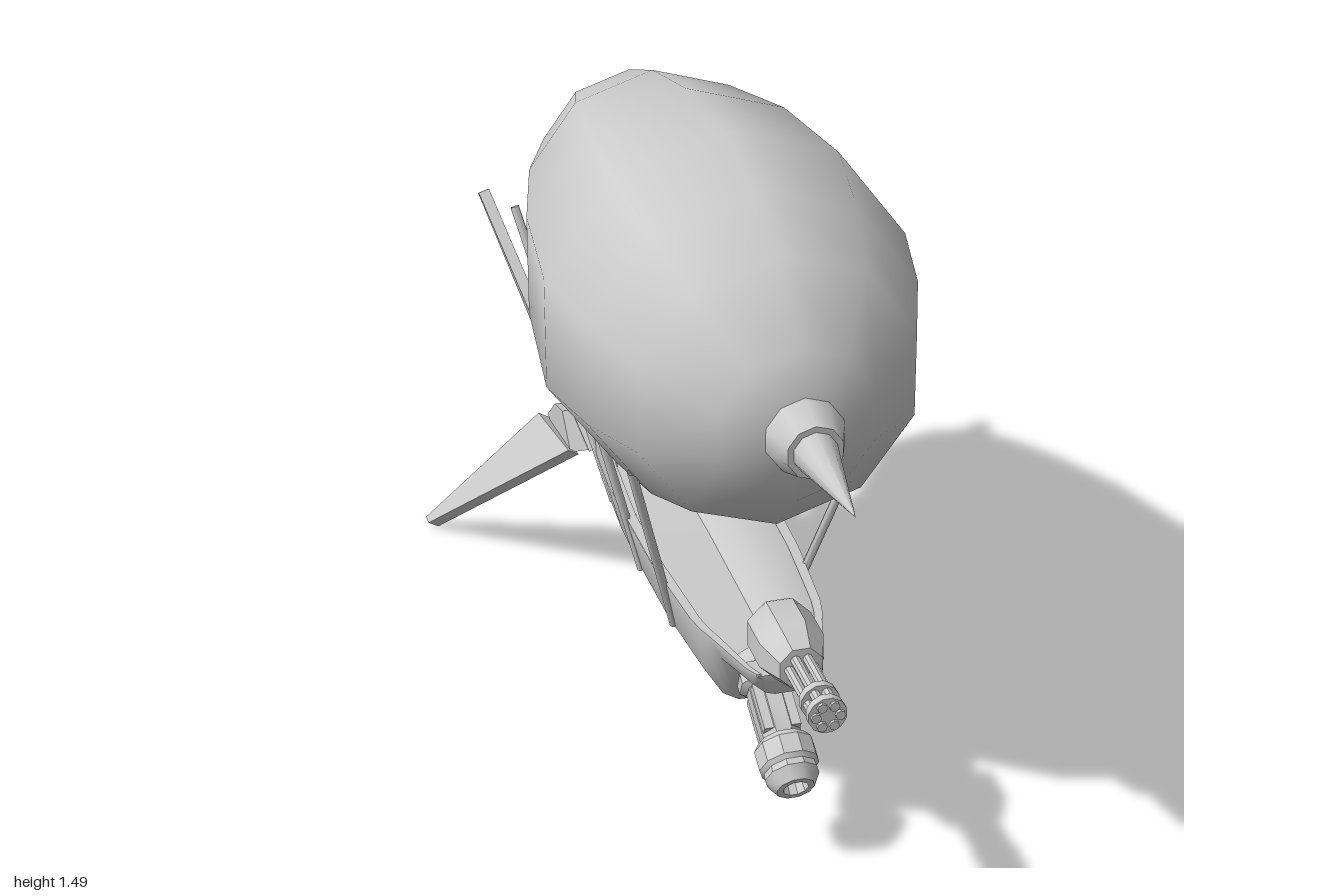
import * as THREE from 'three';
import { toCreasedNormals } from 'three/addons/utils/BufferGeometryUtils.js';

const grey = new THREE.MeshStandardMaterial({ color: 0xcccccc });
const greyDouble = new THREE.MeshStandardMaterial({ color: 0xcccccc, side: THREE.DoubleSide });

function add(parent, name, geometry, crease = 0.6, material = grey) {
  const mesh = new THREE.Mesh(toCreasedNormals(geometry, crease), material);
  mesh.name = name;
  parent.add(mesh);
  return mesh;
}

// Turned part around the z axis, profile given as [z, radius] from back to front
function turned(profile, sides = 8, start = Math.PI / sides) {
  const points = profile.map(([z, r]) => new THREE.Vector2(r, z));
  return new THREE.LatheGeometry(points, sides, start).rotateX(Math.PI / 2);
}

// Round bar between two points
function bar(a, b, radius, sides = 8) {
  return new THREE.TubeGeometry(new THREE.LineCurve3(a, b), 1, radius, sides);
}

// Flat plate: outline as [distance along direction, z], starting at origin (x, y)
function plate(outline, x, y, dx, dy, thickness) {
  const shape = new THREE.Shape(outline.map(([u, z]) => new THREE.Vector2(u, z)));
  const geometry = new THREE.ExtrudeGeometry(shape, { depth: thickness, bevelEnabled: false });
  geometry.translate(0, 0, -thickness / 2);
  const along = new THREE.Vector3(dx, dy, 0).normalize();
  const z = new THREE.Vector3(0, 0, 1);
  const normal = along.clone().cross(z);
  geometry.applyMatrix4(new THREE.Matrix4().makeBasis(along, z, normal));
  return geometry.translate(x, y, 0);
}

// Open boat-shaped hull, lofted from [z, rim height, half width, keel height]
function hullGeometry() {
  const sections = [
    [0.58, 0.475, 0.07, 0.45], [0.55, 0.475, 0.085, 0.4], [0.41, 0.475, 0.125, 0.375],
    [0.38, 0.475, 0.135, 0.3], [0.33, 0.475, 0.145, 0.25], [0.1, 0.475, 0.165, 0.24],
    [-0.12, 0.475, 0.17, 0.237], [-0.3, 0.51, 0.17, 0.24], [-0.45, 0.6, 0.16, 0.245],
    [-0.6, 0.6, 0.15, 0.26], [-0.68, 0.48, 0.13, 0.28],
  ];
  const positions = [], index = [];
  for (const [z, top, w, keel] of sections) {
    const h = 0.475 - keel;
    const half = [[w, top], [w, 0.47], [0.8 * w, keel + 0.42 * h], [0.5 * w, keel + 0.1 * h], [0.25 * w, keel]];
    const outer = [...half, ...half.slice().reverse().map(([x, y]) => [-x, y])];
    const inner = outer.slice().reverse().map(([x, y]) => [x * 0.86, Math.max(y, keel + 0.22 * h)]);
    for (const [x, y] of [...outer, ...inner]) positions.push(x, y, z);
  }
  const n = 20, last = (sections.length - 1) * n;
  for (let i = 0; i < last; i += n) {
    for (let k = 0; k < n; k++) {
      const a = i + k, b = i + (k + 1) % n;
      index.push(a, b, a + n, b, b + n, a + n);
    }
  }
  // bulkheads at bow and stern
  for (let k = 2; k < 8; k++) {
    index.push(1, k + 1, k);
    index.push(last + 1, last + k, last + k + 1);
  }
  const geometry = new THREE.BufferGeometry();
  geometry.setAttribute('position', new THREE.Float32BufferAttribute(positions, 3));
  geometry.setIndex(index);
  return geometry;
}

// Rotary gun with a cluster of six barrels
function rotaryGun() {
  const gun = new THREE.Group();
  gun.name = 'rotaryGun';
  add(gun, 'gunHousing', turned([[0, 0], [0, 0.07], [0.01, 0.075], [0.1, 0.075], [0.17, 0.05], [0.175, 0]]));
  for (let i = 0; i < 6; i++) {
    const a = i * Math.PI / 3;
    const x = 0.026 * Math.cos(a), y = 0.026 * Math.sin(a);
    const barrel = new THREE.CylinderGeometry(0.011, 0.011, 0.2, 8).rotateX(Math.PI / 2);
    add(gun, 'gunBarrel', barrel.translate(x, y, 0.26));
  }
  for (const z of [0.285, 0.335]) {
    add(gun, 'barrelRing', turned([[z, 0], [z, 0.042], [z + 0.018, 0.042], [z + 0.018, 0]], 12));
  }
  return gun;
}

// Stubby cannon with a hollow muzzle
function cannon() {
  const gun = new THREE.Group();
  gun.name = 'cannon';
  add(gun, 'cannonBody', turned([[-0.04, 0], [-0.04, 0.06], [0.03, 0.06], [0.04, 0.046],
    [0.16, 0.046], [0.17, 0.04], [0.2, 0.04]]));
  add(gun, 'cannonMuzzle', turned([[0.17, 0], [0.17, 0.055], [0.185, 0.066], [0.23, 0.066],
    [0.24, 0.058], [0.255, 0.06], [0.285, 0.042], [0.285, 0.028], [0.24, 0.025], [0.24, 0]], 10));
  for (let i = 0; i < 4; i++) {
    const a = Math.PI / 4 + i * Math.PI / 2;
    const rib = new THREE.BoxGeometry(0.022, 0.022, 0.11);
    add(gun, 'cannonRib', rib.translate(0.042 * Math.cos(a), 0.042 * Math.sin(a), 0.1));
  }
  return gun;
}

export function createModel() {
  const model = new THREE.Group();
  model.name = 'airship';

  // Gas envelope and nose spike
  const envelope = new THREE.Group();
  envelope.name = 'envelope';
  envelope.position.y = 1.082;
  model.add(envelope);
  add(envelope, 'balloon', turned([[-0.93, 0], [-0.9, 0.105], [-0.71, 0.213], [-0.5, 0.3], [-0.22, 0.375],
    [0.1, 0.415], [0.3, 0.375], [0.48, 0.31], [0.625, 0.172], [0.665, 0.088], [0.665, 0]], 10, 0), 1.2);
  add(envelope, 'noseCollar', turned([[0.655, 0.086], [0.68, 0.083], [0.74, 0.06], [0.74, 0]], 10, 0), 0.8);
  add(envelope, 'noseSpike', turned([[0.735, 0.048], [1, 0]], 10, 0), 0.8);

  // Hull
  add(model, 'hull', hullGeometry(), 0.6, greyDouble);

  // Engine with a hollow nozzle
  const engine = new THREE.Group();
  engine.name = 'engine';
  engine.position.y = 0.422;
  model.add(engine);
  add(engine, 'engineBody', turned([[-0.81, 0], [-0.81, 0.085], [-0.6, 0.085], [-0.56, 0.06], [-0.56, 0]], 16));
  add(engine, 'engineNozzle', turned([[-0.86, 0], [-0.86, 0.065], [-0.955, 0.075], [-0.955, 0.095],
    [-0.9, 0.129], [-0.82, 0.129], [-0.8, 0.115], [-0.79, 0.08]]));

  // Bow guns
  const upperGun = rotaryGun();
  upperGun.position.set(0, 0.532, 0.495);
  model.add(upperGun);
  const lowerGun = cannon();
  lowerGun.position.set(0, 0.345, 0.385);
  lowerGun.rotation.x = 0.48;
  model.add(lowerGun);

  for (const [side, s] of [['left', 1], ['right', -1]]) {
    // Tail fins
    add(model, side + 'UpperFin',
      plate([[0, -0.49], [0.5, -0.94], [0.485, -0.97], [0.03, -0.72]], s * 0.15, 0.445, s * 0.145, 0.47, 0.026));
    add(model, side + 'LowerFin',
      plate([[0, -0.49], [0.495, -0.97], [0.495, -1], [0.03, -0.73]], s * 0.2, 0.445, s * 0.25, -0.435, 0.028));
    // Fin bracket on the hull side
    add(model, side + 'FinBracket',
      plate([[0, -0.5], [0.07, -0.575], [0.05, -0.65], [-0.02, -0.73], [-0.03, -0.6]], s * 0.16, 0.44, 0, 1, 0.09));
    // Suspension struts
    const struts = [
      [0.255, 0.82, 0.27, 0.13, 0.345, 0.14],
      [0.255, 0.81, -0.12, 0.135, 0.335, -0.12],
      [0.29, 1.02, -0.64, 0.13, 0.36, -0.39],
    ];
    for (const [x0, y0, z0, x1, y1, z1] of struts) {
      add(model, side + 'Strut',
        bar(new THREE.Vector3(s * x0, y0, z0), new THREE.Vector3(s * x1, y1, z1), 0.01), 0.9, greyDouble);
    }
  }
  return model;
}
